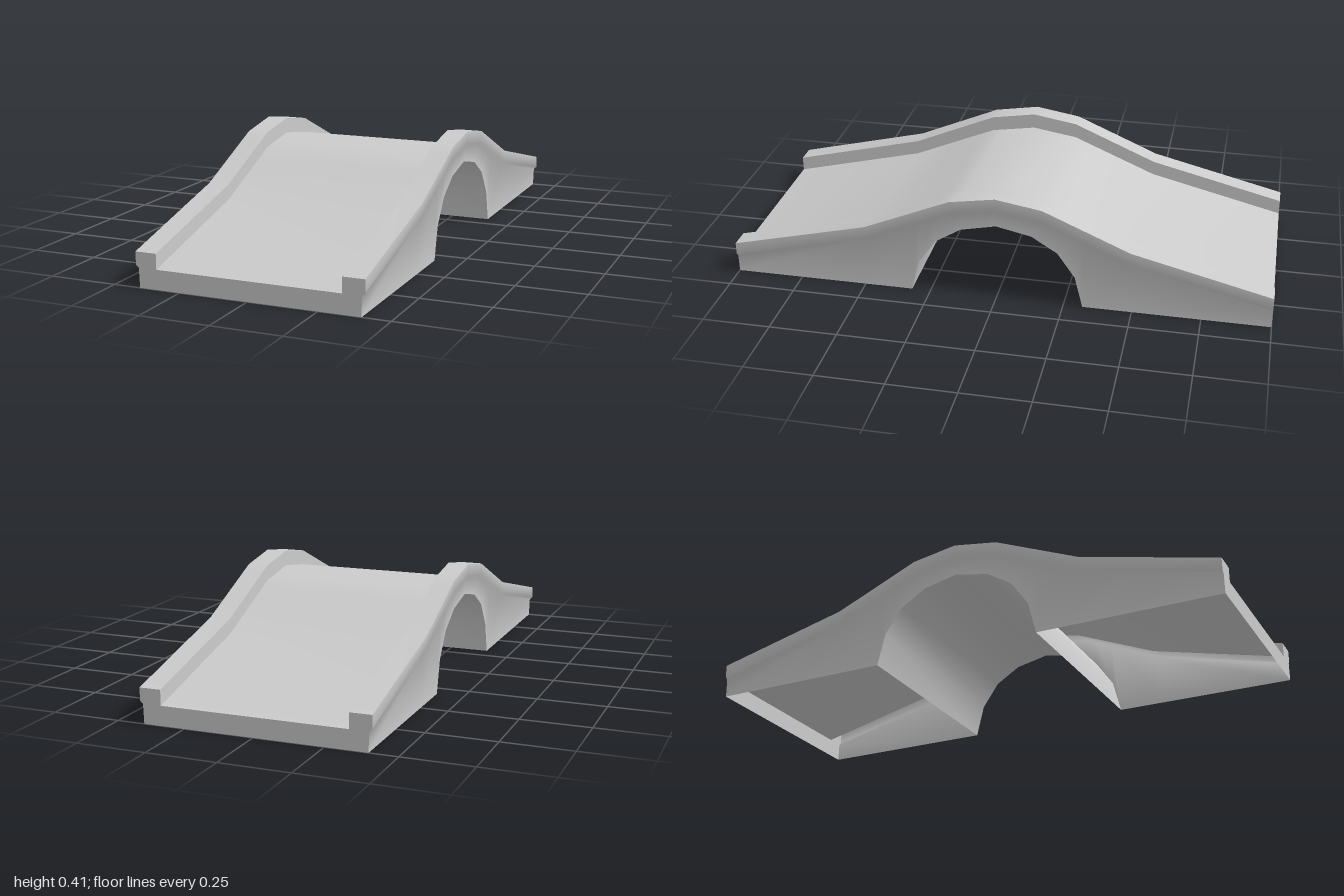
import * as THREE from 'three';
import { toCreasedNormals } from 'three/addons/utils/BufferGeometryUtils.js';

const material = new THREE.MeshStandardMaterial({ color: 0xcccccc, side: THREE.DoubleSide });

// Heights against distance from the middle of the span
const railTop = [[0, 0.415], [0.17, 0.387], [0.49, 0.25], [1, 0.125]];
const deckTop = [[0, 0.357], [0.17, 0.33], [0.49, 0.195], [1, 0.07]];
const arch = [[0, 0.3], [0.13, 0.272], [0.225, 0.213], [0.29, 0.12], [0.32, 0], [1, 0]];

function heightAt(profile, z) {
  const d = Math.abs(z);
  for (let i = 1; i < profile.length; i++) {
    const [z0, y0] = profile[i - 1], [z1, y1] = profile[i];
    if (d <= z1) return y0 + (y1 - y0) * (d - z0) / (z1 - z0);
  }
  return profile[profile.length - 1][1];
}

// Cross-section from the left wall foot, over both rails, to the right wall foot
function section(z) {
  const top = heightAt(railTop, z), deck = heightAt(deckTop, z), foot = heightAt(arch, z);
  const half = [[0.4, foot], [0.402, top - 0.056], [0.413, top - 0.045],
    [0.413, top], [0.335, top], [0.335, deck]];
  return [...half, ...half.map(([x, y]) => [-x, y]).reverse()];
}

// Surface through a row of cross-sections
function loft(stations, sectionAt, crease) {
  const positions = [], index = [];
  const n = sectionAt(stations[0]).length;
  stations.forEach((z, i) => {
    sectionAt(z).forEach(([x, y], j) => {
      positions.push(x, y, z);
      if (i === stations.length - 1 || j === n - 1) return;
      const a = i * n + j, b = a + 1, c = a + n, d = c + 1;
      index.push(a, b, c, b, d, c);
    });
  });
  const geometry = new THREE.BufferGeometry();
  geometry.setAttribute('position', new THREE.Float32BufferAttribute(positions, 3));
  geometry.setIndex(index);
  return toCreasedNormals(geometry, crease);
}

const mirrored = (list) => [...list.map((z) => -z).reverse(), 0, ...list];

export function createModel() {
  const group = new THREE.Group();
  group.name = 'archBridge';
  const add = (geometry, name) => {
    const mesh = new THREE.Mesh(geometry, material);
    mesh.name = name;
    group.add(mesh);
    return mesh;
  };

  // Side walls, rails and deck in one skin, open underneath
  add(loft(mirrored([0.13, 0.17, 0.225, 0.29, 0.32, 0.49, 1]), section, 1.0), 'deckRailsAndWalls');

  // Underside of the arch
  const vault = (z) => [[-0.4, heightAt(arch, z)], [0.4, heightAt(arch, z)]];
  add(loft(mirrored([0.13, 0.225, 0.29, 0.32]), vault, 1.0), 'archVault');

  // Upright faces closing the two ends
  const endShape = new THREE.Shape(section(1).map(([x, y]) => new THREE.Vector2(x, y)));
  const endGeometry = new THREE.ShapeGeometry(endShape).translate(0, 0, 1);
  add(endGeometry, 'frontEnd');
  add(endGeometry, 'backEnd').rotation.y = Math.PI;

  return group;
}
